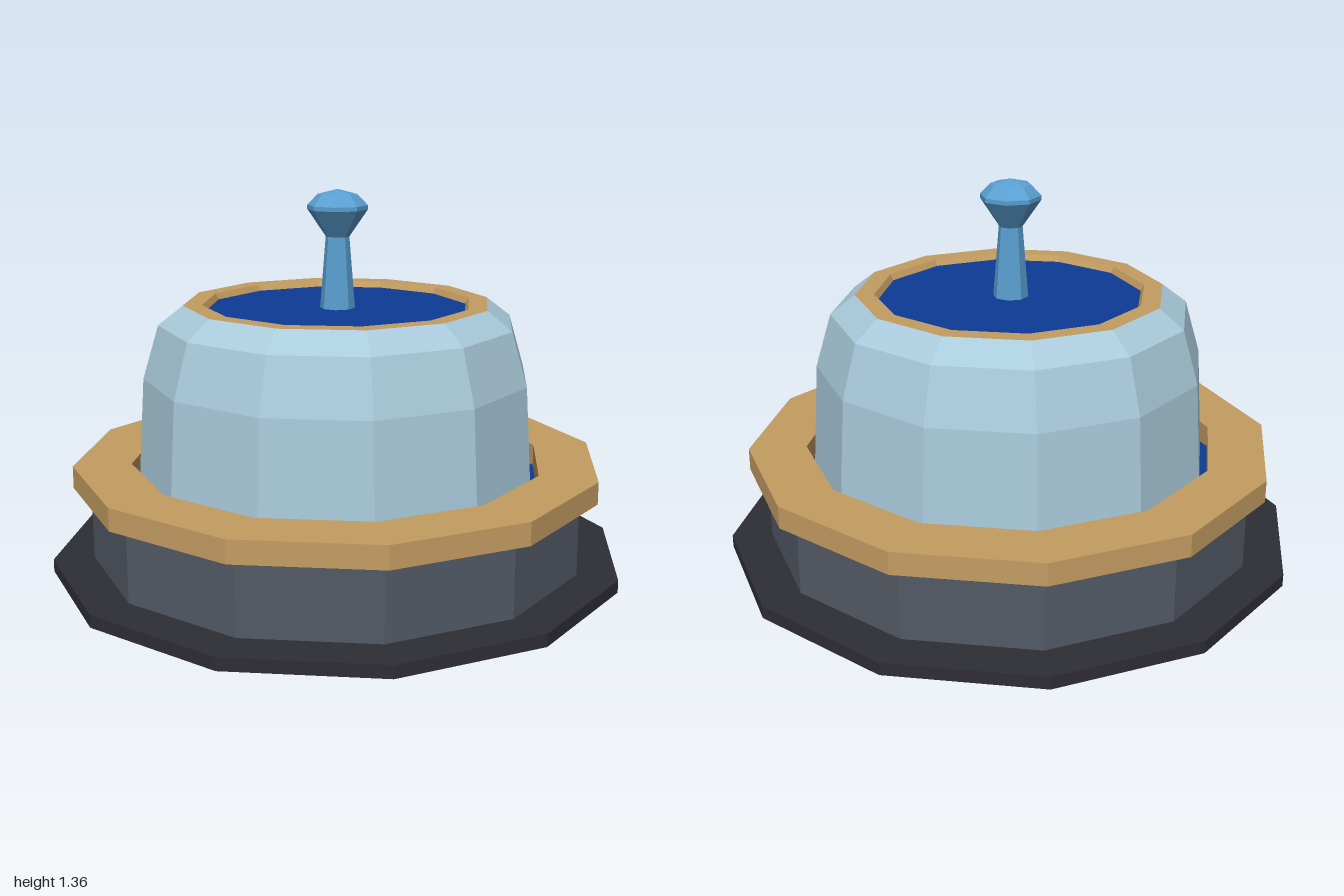
import * as THREE from 'three';

const flat = (name, color) => {
  const m = new THREE.MeshStandardMaterial({ color, flatShading: true });
  m.name = name;
  return m;
};

export function createModel() {
  const group = new THREE.Group();
  group.name = 'serviceBell';

  const dark = flat('darkBase', 0x2e2d35);
  const slate = flat('slateDrum', 0x535a65);
  const gold = flat('gold', 0xc49d62);
  const blue = flat('deepBlue', 0x0d3a94);
  const silver = flat('paleBlueMetal', 0xa9cadb);
  const button = flat('buttonBlue', 0x5aa0d2);

  // Faceted solid of revolution; radii are measured to the middle of a facet,
  // and a facet faces the front. Profiles run so that faces point outward.
  const turn = (name, material, profile, sides = 12) => {
    const k = 1 / Math.cos(Math.PI / sides);
    const points = profile.map(([r, y]) => new THREE.Vector2(r * k, y));
    const mesh = new THREE.Mesh(
      new THREE.LatheGeometry(points, sides, Math.PI / sides), material);
    mesh.name = name;
    group.add(mesh);
    return mesh;
  };

  // Foot plate and drum
  turn('footPlate', dark, [[0, 0], [1, 0], [1, 0.045], [0.84, 0.045]]);
  turn('drum', slate, [[0.86, 0.045], [0.86, 0.3]]);

  // Rim: dark sloping underside, gold collar and blue floor of the groove
  turn('rimUnderside', dark, [[0.85, 0.295], [0.86, 0.295], [0.92, 0.31]]);
  turn('collar', gold, [[0.92, 0.31], [0.92, 0.39], [0.72, 0.39], [0.72, 0.31]]);
  turn('grooveFloor', blue, [[0.73, 0.312], [0.6, 0.312]]);

  // Bell dome
  turn('bell', silver, [[0.695, 0.31], [0.69, 0.39], [0.67, 0.7], [0.615, 0.89], [0.53, 0.958]]);

  // Gold ring around the recessed blue top
  turn('topRing', gold, [[0.53, 0.958], [0.465, 0.958], [0.453, 0.935]]);
  turn('topDisc', blue, [[0.456, 0.936], [0, 0.936]]);

  // Push button: tapered stem, flared head and low pointed cap
  const c = Math.cos(Math.PI / 8);
  const plunger = turn('pushButton', button, [
    [0.063 * c, 0.93], [0.042 * c, 1.19], [0.107 * c, 1.285],
    [0.107 * c, 1.3], [0.07 * c, 1.338], [0, 1.356],
  ], 8);
  plunger.rotation.y = Math.PI / 8;

  return group;
}
